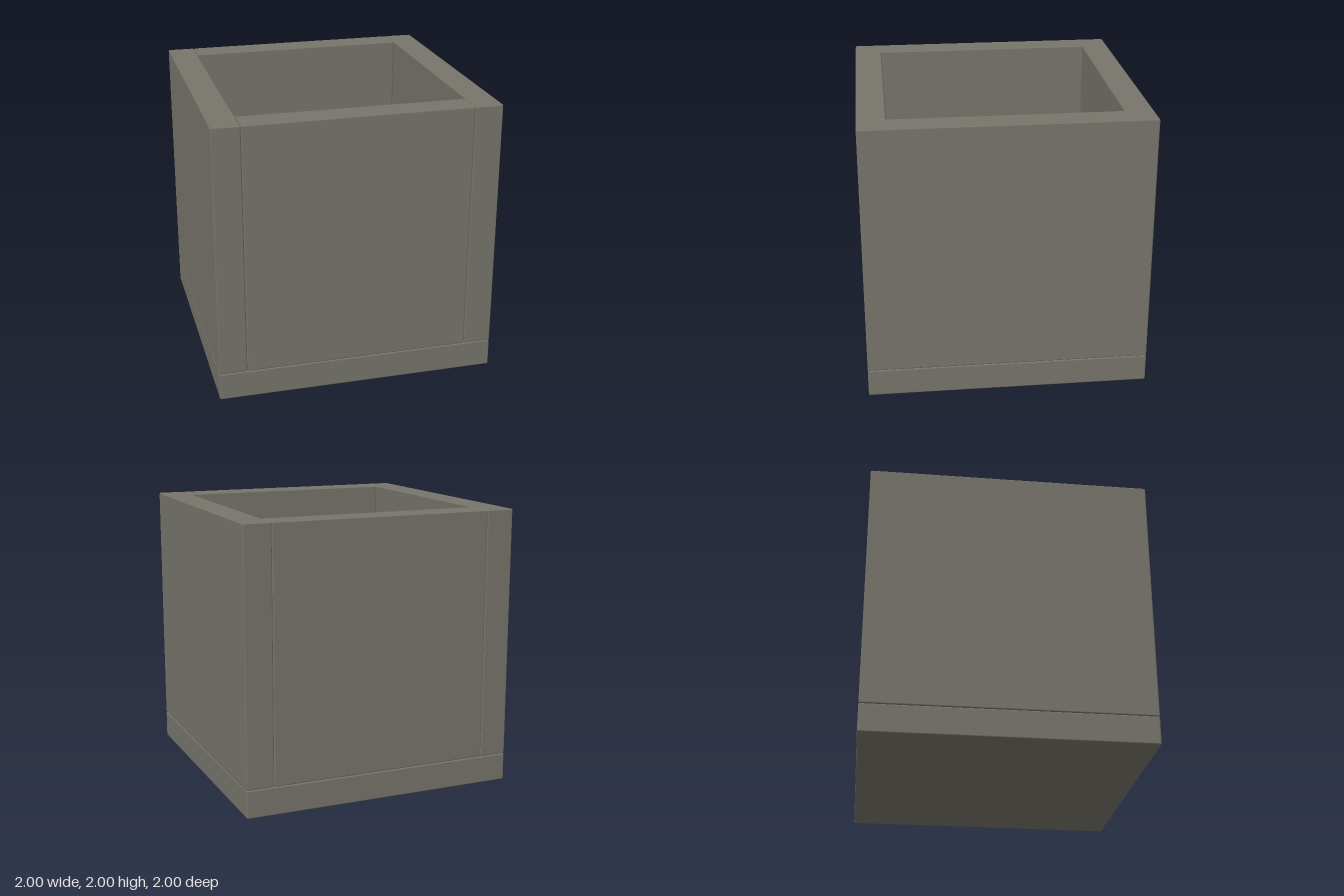
import * as THREE from 'three';
import { RoundedBoxGeometry } from 'three/addons/geometries/RoundedBoxGeometry.js';

const BEVEL = 0.01;
const WALL = 0.2;

export function createModel() {
  const model = new THREE.Group();
  model.name = 'openBox';
  const stone = new THREE.MeshStandardMaterial({ color: 0x77756b });
  stone.name = 'warm grey stone';

  // One slab with a narrow, softly shaded bevel
  function slab(name, size, position) {
    const mesh = new THREE.Mesh(new RoundedBoxGeometry(...size, 1, BEVEL), stone);
    mesh.name = name;
    mesh.position.set(...position);
    model.add(mesh);
  }

  // Floor slab
  slab('base', [2, WALL, 2], [0, WALL / 2, 0]);

  // Full-depth side walls, with the front and back walls fitted between them
  const height = 2 - WALL;
  const y = WALL + height / 2;
  const offset = 1 - WALL / 2;
  for (const s of [1, -1]) {
    slab(s > 0 ? 'leftWall' : 'rightWall', [WALL, height, 2], [s * offset, y, 0]);
    slab(s > 0 ? 'frontWall' : 'backWall', [2 - 2 * WALL, height, WALL], [0, y, s * offset]);
  }
  return model;
}
